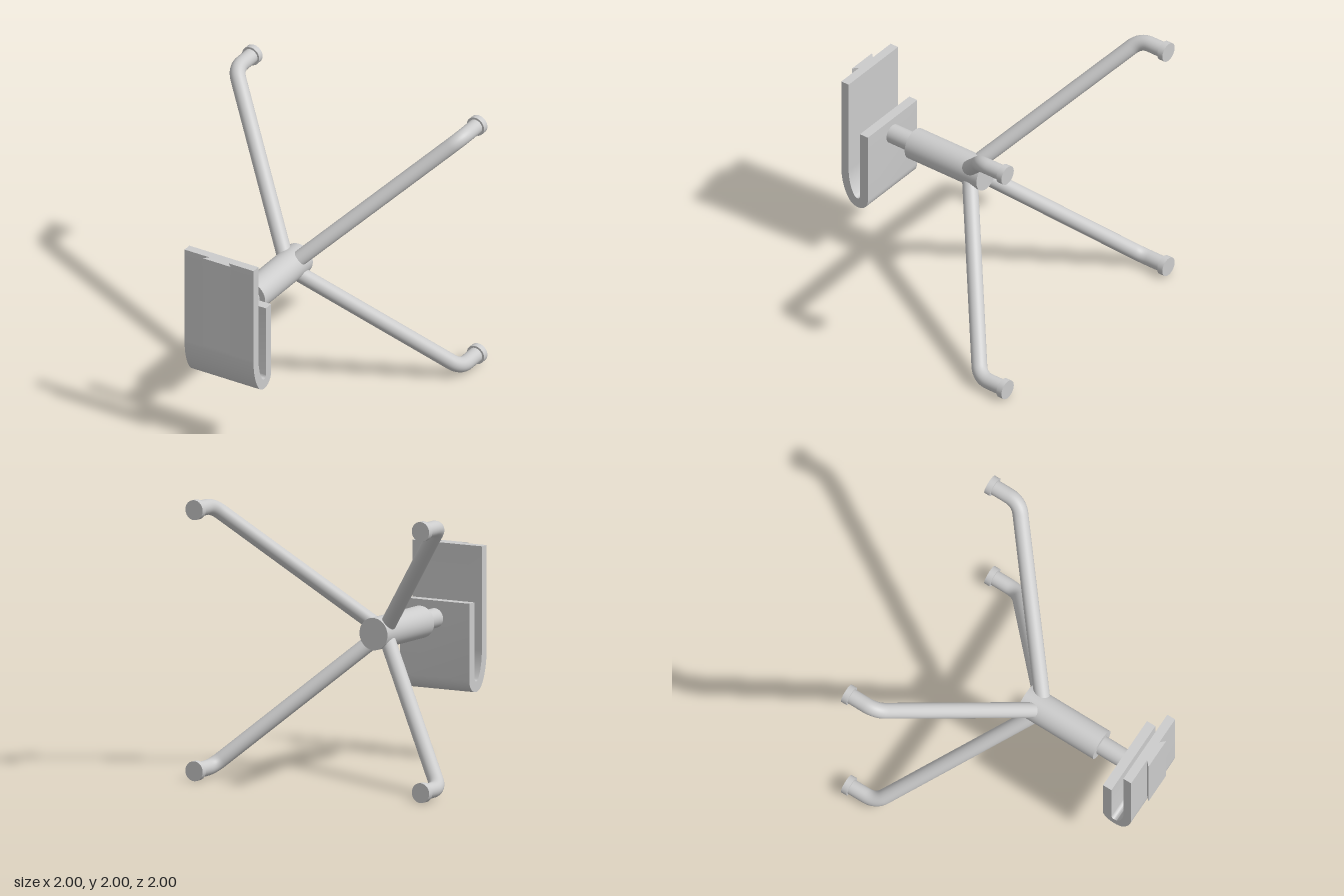
import * as THREE from 'three';
import { toCreasedNormals } from 'three/addons/utils/BufferGeometryUtils.js';

const material = new THREE.MeshStandardMaterial({ color: 0xcccccc });

function addMesh(parent, name, geometry) {
  const mesh = new THREE.Mesh(geometry, material);
  mesh.name = name;
  parent.add(mesh);
  return mesh;
}

// Cylinder lying along z between two depths
function rod(radius, z0, z1) {
  return new THREE.CylinderGeometry(radius, radius, z1 - z0, 48)
    .rotateX(Math.PI / 2)
    .translate(0, 0, (z0 + z1) / 2);
}

// Leg that runs outward from the hub, then bends straight back
function makeLeg(sx, sy) {
  const leg = new THREE.Group();
  leg.name = 'leg';
  const reach = 0.929;
  const start = new THREE.Vector3(0, 1, 0.05);
  const corner = new THREE.Vector3(sx * reach, 1 + sy * reach, -0.755);
  const end = new THREE.Vector3(corner.x, corner.y, -0.96);
  const bend = 0.085;
  const bendIn = corner.clone().add(start.clone().sub(corner).setLength(bend));
  const bendOut = corner.clone().add(new THREE.Vector3(0, 0, -bend));
  const path = new THREE.CurvePath();
  path.add(new THREE.LineCurve3(start, bendIn));
  path.add(new THREE.QuadraticBezierCurve3(bendIn, corner, bendOut));
  path.add(new THREE.LineCurve3(bendOut, end));
  addMesh(leg, 'legTube', new THREE.TubeGeometry(path, 96, 0.056, 32));
  addMesh(leg, 'footPad', rod(0.071, -1, -0.955)).position.set(end.x, end.y, 0);
  return leg;
}

// J-shaped clip, drawn in (z, y) and extruded along x
function makeClip() {
  const half = 0.285;
  const s = new THREE.Shape();
  s.moveTo(0.965, 1.51);
  s.lineTo(0.9, 1.51);
  s.lineTo(0.9, 0.77);
  s.bezierCurveTo(0.9, 0.69, 0.88, 0.62, 0.85, 0.575);
  s.bezierCurveTo(0.835, 0.553, 0.8, 0.553, 0.8, 0.59);
  s.lineTo(0.8, 1.125);
  s.lineTo(0.73, 1.125);
  s.lineTo(0.73, 0.58);
  s.bezierCurveTo(0.73, 0.475, 0.855, 0.45, 0.905, 0.535);
  s.bezierCurveTo(0.945, 0.6, 0.965, 0.68, 0.965, 0.77);
  s.closePath();
  const g = new THREE.ExtrudeGeometry(s, { depth: 2 * half, bevelEnabled: false, curveSegments: 16 });
  g.translate(0, 0, -half).rotateY(-Math.PI / 2);
  return toCreasedNormals(g, 0.6);
}

// Dovetail rail, drawn in (x, -z) and extruded upward
function makeRail() {
  const s = new THREE.Shape();
  s.moveTo(-0.115, -1);
  s.lineTo(0.115, -1);
  s.lineTo(0.075, -0.96);
  s.lineTo(-0.075, -0.96);
  s.closePath();
  return new THREE.ExtrudeGeometry(s, { depth: 0.71, bevelEnabled: false })
    .rotateX(-Math.PI / 2)
    .translate(0, 0.8, 0);
}

export function createModel() {
  const model = new THREE.Group();
  model.name = 'legged holder';

  // Central body
  addMesh(model, 'hub', rod(0.115, -0.1, 0.535)).position.y = 1;
  addMesh(model, 'neck', rod(0.07, 0.53, 0.735)).position.y = 1;

  // Clip and its front rail
  addMesh(model, 'clip', makeClip());
  addMesh(model, 'rail', makeRail());

  // Four mirrored legs
  for (const sx of [-1, 1]) {
    for (const sy of [-1, 1]) model.add(makeLeg(sx, sy));
  }
  return model;
}
